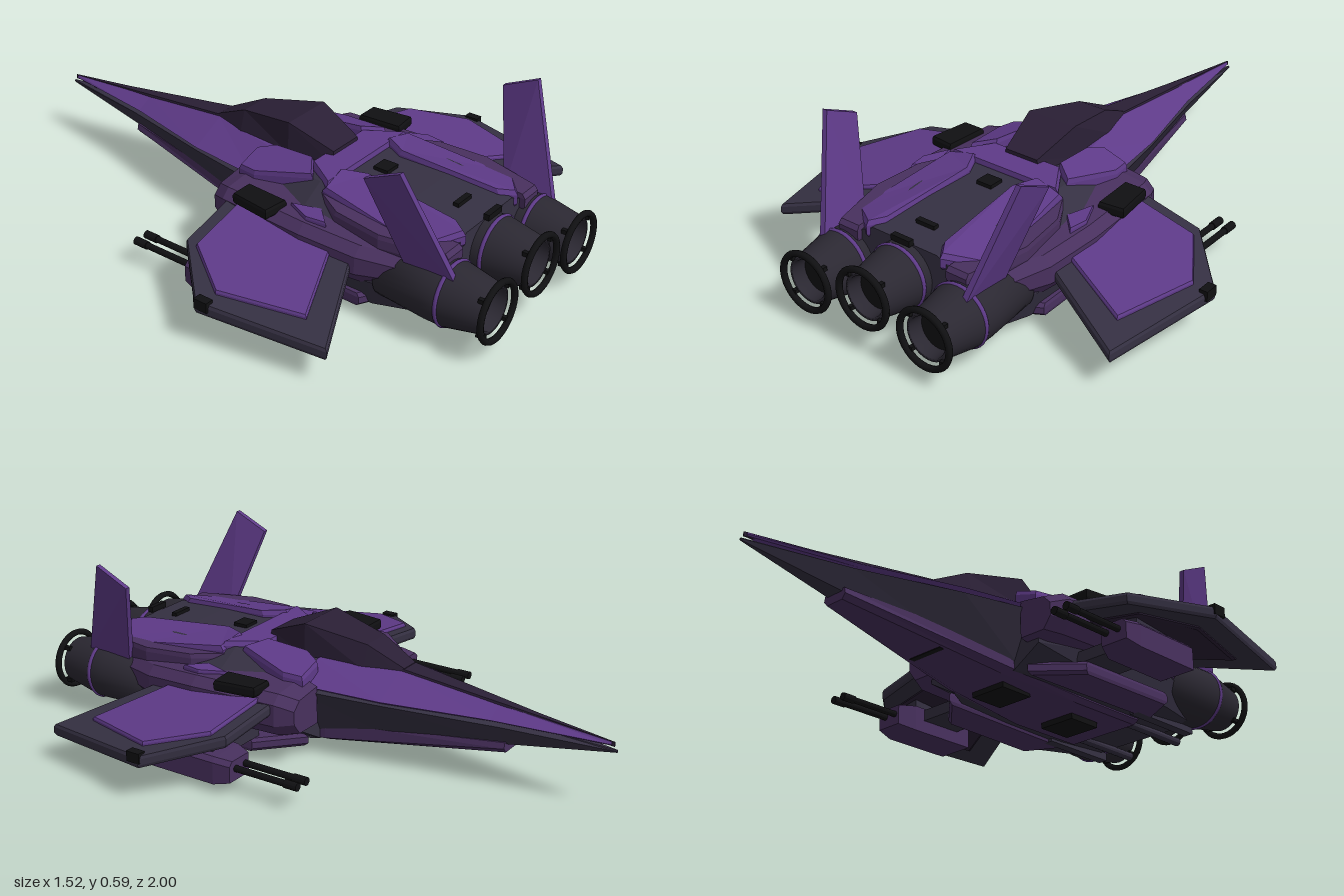
import * as THREE from 'three';

const mat = (color) => new THREE.MeshStandardMaterial({ color, flatShading: true });

// Closed skin through rings of [x, y, z] points (counter-clockwise seen from the last ring)
function loft(rings) {
  const pos = [], n = rings[0].length, last = rings[rings.length - 1];
  const tri = (...p) => p.forEach((v) => pos.push(...v));
  for (let i = 0; i < rings.length - 1; i++) {
    for (let j = 0; j < n; j++) {
      const k = (j + 1) % n, a = rings[i], b = rings[i + 1];
      tri(a[j], a[k], b[k]);
      tri(a[j], b[k], b[j]);
    }
  }
  for (let j = 1; j < n - 1; j++) {
    tri(rings[0][0], rings[0][j + 1], rings[0][j]);
    tri(last[0], last[j], last[j + 1]);
  }
  const g = new THREE.BufferGeometry();
  g.setAttribute('position', new THREE.Float32BufferAttribute(pos, 3));
  g.computeVertexNormals();
  return g;
}

// Symmetric hull: each section is [z, right half outline from bottom to top]
const hull = (sections) => loft(sections.map(([z, half]) => [
  ...half.map(([x, y]) => [x, y, z]),
  ...half.slice().reverse().map(([x, y]) => [-x, y, z]),
]));

// Bevelled plate: plan outline [x, z], top height rule, thickness, top shrink
function plate(outline, top, thick, shrink = 0.95) {
  let area = 0;
  outline.forEach(([x, z], i) => {
    const [x2, z2] = outline[(i + 1) % outline.length];
    area += z * x2 - x * z2;
  });
  const pts = area > 0 ? outline : outline.slice().reverse();
  const cx = pts.reduce((s, p) => s + p[0], 0) / pts.length;
  const cz = pts.reduce((s, p) => s + p[1], 0) / pts.length;
  const ring = (d, k) => pts.map(([x, z]) => [cx + (x - cx) * k, top(x, z) - d, cz + (z - cz) * k]);
  return loft([ring(thick, shrink), ring(thick * 0.75, 1), ring(thick * 0.25, 1), ring(0, shrink)]);
}

const box = (x, y, z, w, h, d) => new THREE.BoxGeometry(w, h, d).translate(x, y, z);
const rod = (x, y, z, r, len) => new THREE.CylinderGeometry(r, r, len, 12).rotateX(Math.PI / 2).translate(x, y, z);

function mirrored(geo) {
  const g = geo.index ? geo.toNonIndexed() : geo.clone();
  const p = g.attributes.position;
  for (let i = 0; i < p.count; i += 3) {
    const v = [0, 2, 1].map((k) => [-p.getX(i + k), p.getY(i + k), p.getZ(i + k)]);
    v.forEach((c, k) => p.setXYZ(i + k, ...c));
  }
  g.computeVertexNormals();
  return g;
}

export function createModel() {
  const root = new THREE.Group();
  root.name = 'starfighter';
  const purple = mat(0x5e3a88), plum = mat(0x48305e), dark = mat(0x353042);
  const black = mat(0x101012), glass = mat(0x2a1f35);
  const add = (name, geo, m) => {
    const mesh = new THREE.Mesh(geo, m);
    mesh.name = name;
    root.add(mesh);
  };
  const pair = (name, geo, m) => {
    add(name + 'Left', geo, m);
    add(name + 'Right', mirrored(geo), m);
  };

  // Nose and main body
  add('noseHull', hull([
    [-1, [[0.002, 0.208], [0.004, 0.212], [0.002, 0.216]]],
    [-0.63, [[0.035, 0.155], [0.07, 0.225], [0.03, 0.24]]],
    [-0.25, [[0.09, 0.1], [0.165, 0.24], [0.05, 0.29]]],
    [0.05, [[0.14, 0.06], [0.225, 0.25], [0.1, 0.3]]],
  ]), dark);
  add('nosePlating', hull([
    [-0.98, [[0.004, 0.228], [0.008, 0.233], [0.003, 0.24]]],
    [-0.6, [[0.066, 0.238], [0.078, 0.245], [0.018, 0.277]]],
    [-0.25, [[0.155, 0.245], [0.17, 0.255], [0.045, 0.32]]],
    [0.03, [[0.19, 0.25], [0.215, 0.265], [0.11, 0.325]]],
  ]), purple);
  add('noseSpine', hull([
    [-0.99, [[0.002, 0.225], [0.002, 0.24]]],
    [-0.73, [[0.014, 0.25], [0.01, 0.269]]],
    [-0.25, [[0.045, 0.3], [0.038, 0.327]]],
  ]), glass);
  add('mainBody', hull([
    [0, [[0.14, 0.055], [0.25, 0.12], [0.24, 0.25], [0.14, 0.3]]],
    [0.3, [[0.3, 0.045], [0.33, 0.14], [0.29, 0.28], [0.2, 0.335]]],
    [0.58, [[0.3, 0.045], [0.33, 0.14], [0.29, 0.27], [0.18, 0.325]]],
    [0.8, [[0.24, 0.06], [0.27, 0.14], [0.26, 0.24], [0.13, 0.305]]],
  ]), dark);

  // Belly keel and landing bay doors
  add('keel', hull([
    [-0.64, [[0.035, 0.128], [0.05, 0.145], [0.045, 0.165]]],
    [-0.02, [[0.11, 0.045], [0.14, 0.06], [0.14, 0.12]]],
    [0.3, [[0.14, 0.026], [0.16, 0.04], [0.16, 0.09]]],
    [0.6, [[0.14, 0.028], [0.16, 0.04], [0.16, 0.09]]],
  ]), plum);
  [[0.42, 0.015], [0.085, 0.034], [-0.2, 0.085]].forEach(([z, y]) =>
    add('bayDoor', box(0, y, z, 0.14, 0.02, 0.13), black));
  pair('bellySidePlate', plate([[0.18, 0.02], [0.32, 0.15], [0.33, 0.55], [0.2, 0.62]], () => 0.08, 0.045), plum);
  pair('bellyRail', rod(0.11, 0.045, 0.68, 0.015, 0.4), dark);
  pair('bellyOuterRail', box(0.2, 0.05, 0.68, 0.035, 0.03, 0.3), dark);

  // Canopy and collar behind it
  add('canopy', hull([
    [-0.26, [[0.045, 0.3], [0.035, 0.328]]],
    [-0.13, [[0.08, 0.31], [0.055, 0.39]]],
    [0.09, [[0.1, 0.32], [0.095, 0.43]]],
    [0.25, [[0.07, 0.32], [0.065, 0.365]]],
  ]), glass);
  add('canopyCollar', plate([[-0.14, 0.22], [0.14, 0.22], [0.22, 0.34], [-0.22, 0.34]], () => 0.352, 0.06), purple);
  pair('cockpitSidePlate', plate([[0.15, 0], [0.24, 0], [0.25, 0.07], [0.2, 0.27], [0.13, 0.22], [0.12, 0.06]],
    (x, z) => 0.345 - 0.3 * (x - 0.12) + 0.1 * z, 0.06), purple);

  // Rear deck
  const roof = (x, z) => 0.36 - 0.4 * Math.max(0, x - 0.18) - 0.08 * (z - 0.33);
  pair('deckPlate', plate([[0.13, 0.32], [0.23, 0.33], [0.265, 0.65], [0.25, 0.74], [0.15, 0.81], [0.115, 0.76], [0.09, 0.4]],
    roof, 0.06), purple);
  pair('deckEdge', plate([[0.22, 0.3], [0.29, 0.42], [0.31, 0.6], [0.26, 0.82], [0.18, 0.82], [0.2, 0.5]],
    (x, z) => 0.317 - 0.04 * (z - 0.3), 0.06), plum);
  add('deckHatch', box(0, 0.333, 0.41, 0.06, 0.02, 0.055), black);
  [0.7, 0.81].forEach((z) => add('deckVent', box(0, 0.317, z, 0.075, 0.02, 0.02), black));

  // Intake blocks flanking the body
  const intake = [
    [-0.03, 0.2, 0.33, 0.14, 0.255], [0.03, 0.2, 0.36, 0.13, 0.275], [0.35, 0.22, 0.38, 0.13, 0.275],
    [0.55, 0.22, 0.36, 0.13, 0.26], [0.8, 0.2, 0.27, 0.14, 0.24],
  ].map(([z, a, b, lo, hi]) => [
    [a, lo, z], [b - 0.03, lo, z], [b, lo + 0.04, z], [b, hi - 0.03, z], [b - 0.03, hi, z], [a, hi + 0.015, z],
  ]);
  pair('intakeBlock', loft(intake), plum);
  pair('intakeVent', plate([[0.3, 0.09], [0.38, 0.09], [0.4, 0.24], [0.31, 0.25]], () => 0.298, 0.035), black);
  pair('intakeFin', plate([[0.3, 0.26], [0.34, 0.35], [0.33, 0.42], [0.27, 0.36]], () => 0.29, 0.03), purple);

  // Drooping wings with raised panels
  const wingTop = (x, z) => 0.305 - 0.158 * x - 0.0875 * z;
  pair('wing', plate([[0.33, 0.04], [0.57, 0.06], [0.76, 0.26], [0.68, 0.69], [0.33, 0.52]], wingTop, 0.04, 0.98), dark);
  pair('wingPanel', plate([[0.34, 0.09], [0.58, 0.11], [0.7, 0.29], [0.62, 0.57], [0.34, 0.45]],
    (x, z) => wingTop(x, z) + 0.014, 0.03, 0.98), purple);
  pair('wingUnderPanel', plate([[0.34, 0.12], [0.56, 0.13], [0.67, 0.29], [0.62, 0.55], [0.34, 0.43]],
    (x, z) => wingTop(x, z) - 0.03, 0.02), glass);
  pair('wingTipLamp', box(0.745, 0.155, 0.28, 0.03, 0.035, 0.05), black);

  // Underwing gun pods
  const pod = [[0.05, 0.47, 0.57, 0.05, 0.12], [0.11, 0.445, 0.58, 0.035, 0.125], [0.37, 0.445, 0.58, 0.035, 0.125]];
  pair('gunPod', loft(pod.map(([z, a, b, lo, hi]) => [[a, lo, z], [b, lo, z], [b, hi - 0.015, z],
    [b - 0.015, hi, z], [a, hi, z]])), plum);
  pair('gunArm', box(0.37, 0.1, 0.23, 0.18, 0.04, 0.16), dark);
  pair('gunPylon', box(0.51, 0.15, 0.22, 0.06, 0.07, 0.16), dark);
  [0.49, 0.538].forEach((x) => {
    pair('gunBarrel', rod(x, 0.09, -0.06, 0.011, 0.26), black);
    pair('gunMuzzle', rod(x, 0.09, -0.165, 0.014, 0.05), black);
  });

  // Canted tail fins
  const finRing = (x, y1, z1, y2, z2, t) => [[x - t, y1, z1], [x + t, y1, z1], [x + t, y2, z2], [x - t, y2, z2]];
  pair('tailFin', loft([
    finRing(0.285, 0.23, 0.87, 0.23, 0.69, 0.011),
    finRing(0.385, 0.597, 0.725, 0.54, 0.6, 0.009),
  ]), purple);

  // Three engines, each with a purple band and a standing exhaust ring
  const profile = [[0, 0.6], [0.09, 0.6], [0.105, 0.78], [0.106, 0.84], [0.08, 0.975], [0.068, 0.975], [0.06, 0.89], [0, 0.89]]
    .map(([r, z]) => new THREE.Vector2(r, z));
  const smooth = (color) => new THREE.MeshStandardMaterial({ color });
  const nozzleMat = smooth(0x2b2832), ringMat = smooth(0x101012), bandMat = smooth(0x5e3a88);
  [[-0.243, 0.16], [0, 0.2], [0.243, 0.16]].forEach(([x, y]) => {
    add('engine', new THREE.LatheGeometry(profile, 32).rotateX(Math.PI / 2).translate(x, y, 0), nozzleMat);
    add('engineBand', new THREE.TorusGeometry(0.103, 0.008, 8, 32).translate(x, y, 0.835), bandMat);
    add('exhaustRing', new THREE.TorusGeometry(0.096, 0.011, 8, 32).translate(x, y, 0.988), ringMat);
    add('exhaustCore', new THREE.CircleGeometry(0.067, 24).translate(x, y, 0.93), ringMat);
    for (let i = 0; i < 4; i++) {
      const a = Math.PI / 4 + i * Math.PI / 2;
      add('ringStrut', box(x + Math.cos(a) * 0.085, y + Math.sin(a) * 0.085, 0.972, 0.014, 0.014, 0.03), ringMat);
    }
  });

  return root;
}
